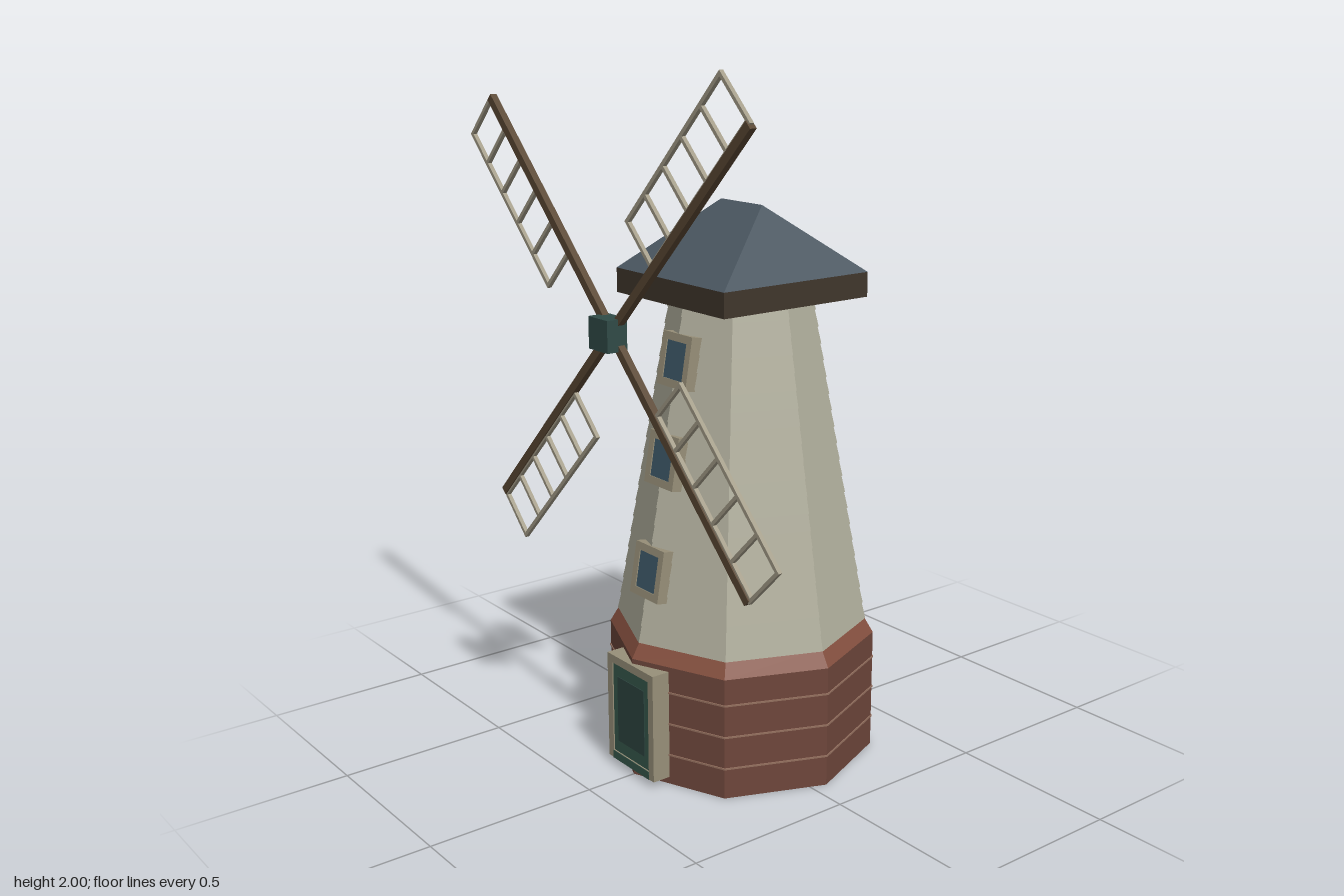
import * as THREE from 'three';

const CZ = -0.0455; // tower axis
const mat = (color) => new THREE.MeshStandardMaterial({ color, flatShading: true });
const M = {
  brick: mat(0x6e463b), coping: mat(0x85503f), mortar: mat(0x94705f),
  board: mat(0xb0ae9c), roof: mat(0x4b5761), eave: mat(0x40362c),
  frame: mat(0x989079), glass: mat(0x3d5766), door: mat(0x37594d), panel: mat(0x2d4540),
  hub: mat(0x304b47), spar: mat(0x5a4733), lattice: mat(0xa59e8a),
};

function add(parent, name, geometry, material, x = 0, y = 0, z = 0) {
  const mesh = new THREE.Mesh(geometry, material);
  mesh.name = name;
  mesh.position.set(x, y, z);
  parent.add(mesh);
  return mesh;
}
const box = (w, h, d) => new THREE.BoxGeometry(w, h, d);
const octagon = (top, bottom, h) => new THREE.CylinderGeometry(top, bottom, h, 8);

// Rectangular surround with an opening, its front face at z = 0
function surround(w, h, border, depth) {
  const rect = (P, a, b) => {
    const p = new P();
    p.moveTo(-a, -b); p.lineTo(a, -b); p.lineTo(a, b); p.lineTo(-a, b); p.closePath();
    return p;
  };
  const s = rect(THREE.Shape, w / 2, h / 2);
  s.holes.push(rect(THREE.Path, w / 2 - border, h / 2 - border));
  return new THREE.ExtrudeGeometry(s, { depth, bevelEnabled: false }).translate(0, 0, -depth);
}

// Hip roof: rectangular eave rising to a short ridge along x
function hipRoof(hx, hz, h, ridge) {
  const g = new THREE.BoxGeometry(2, h, 2).translate(0, h / 2, 0);
  const p = g.attributes.position;
  for (let i = 0; i < p.count; i++) {
    const up = p.getY(i) > h / 2;
    p.setX(i, p.getX(i) * (up ? ridge : hx));
    p.setZ(i, p.getZ(i) * (up ? 0 : hz));
  }
  g.computeVertexNormals();
  return g;
}

export function createModel() {
  const model = new THREE.Group();
  model.name = 'windmill';

  // Brick base with mortar courses and a sloped coping
  const base = new THREE.Group();
  base.name = 'base';
  base.position.z = CZ;
  model.add(base);
  add(base, 'brickBase', octagon(0.391, 0.391, 0.357), M.brick, 0, 0.1785);
  add(base, 'coping', octagon(0.362, 0.391, 0.05), M.coping, 0, 0.382);
  for (const y of [0.09, 0.185, 0.28]) add(base, 'mortarCourse', octagon(0.394, 0.394, 0.005), M.mortar, 0, y);

  // Tapered tower of lapped boards
  const y0 = 0.4, y1 = 1.365, r0 = 0.365, r1 = 0.199, boards = 20;
  const profile = [new THREE.Vector2(0, y0)];
  for (let i = 0; i < boards; i++) {
    const a = i / boards, b = (i + 1) / boards;
    profile.push(new THREE.Vector2(r0 + (r1 - r0) * a + 0.003, y0 + (y1 - y0) * a));
    profile.push(new THREE.Vector2(r0 + (r1 - r0) * b, y0 + (y1 - y0) * b));
  }
  profile.push(new THREE.Vector2(0, y1));
  add(model, 'tower', new THREE.LatheGeometry(profile, 8), M.board, 0, 0, CZ);

  // Windows leaning with the front of the tower
  const slope = (r0 - r1) / (y1 - y0);
  for (const y of [0.605, 0.922, 1.198]) {
    const win = new THREE.Group();
    win.name = 'window';
    win.position.set(0, y, CZ + r0 - slope * (y - y0) + 0.007);
    win.rotation.x = -Math.atan(slope);
    model.add(win);
    add(win, 'windowFrame', surround(0.132, 0.15, 0.022, 0.04), M.frame);
    add(win, 'windowPane', box(0.09, 0.108, 0.034), M.glass, 0, 0, -0.02);
  }

  // Door
  const door = new THREE.Group();
  door.name = 'door';
  door.position.set(0, 0.182, 0.355);
  model.add(door);
  add(door, 'doorFrame', surround(0.222, 0.322, 0.024, 0.065), M.frame);
  add(door, 'doorLeaf', box(0.176, 0.276, 0.055), M.door, 0, 0, -0.031);
  add(door, 'doorSill', box(0.176, 0.024, 0.06), M.door, 0, -0.15, -0.029);
  add(door, 'doorPanel', box(0.13, 0.2, 0.02), M.panel, 0, 0, -0.0115);

  // Cap
  add(model, 'eave', box(0.49, 0.07, 0.506), M.eave, 0, 1.39, CZ);
  add(model, 'roof', hipRoof(0.245, 0.253, 0.19, 0.09), M.roof, 0, 1.425, CZ);

  // Sails: four spars, each with a ladder lattice on one side
  const sails = new THREE.Group();
  sails.name = 'sails';
  sails.position.set(0, 1.303, 0.393);
  model.add(sails);
  add(sails, 'hub', box(0.088, 0.088, 0.063), M.hub, 0, 0, 0.013);
  const inner = 0.275, outer = 0.825, width = 0.157, bays = 5;
  for (let i = 0; i < 4; i++) {
    const sail = new THREE.Group();
    sail.name = 'sail';
    sail.rotation.z = Math.PI / 4 + (i * Math.PI) / 2;
    sails.add(sail);
    add(sail, 'spar', box(outer, 0.024, 0.02), M.spar, outer / 2);
    add(sail, 'outerRail', box(outer - inner + 0.01, 0.011, 0.012), M.lattice, (inner + outer) / 2, width);
    add(sail, 'innerRail', box(outer - inner + 0.01, 0.011, 0.012), M.lattice, (inner + outer) / 2, 0.012);
    for (let k = 0; k <= bays; k++) {
      add(sail, 'rung', box(0.01, width, 0.012), M.lattice, inner + ((outer - inner) * k) / bays, width / 2);
    }
  }
  return model;
}
